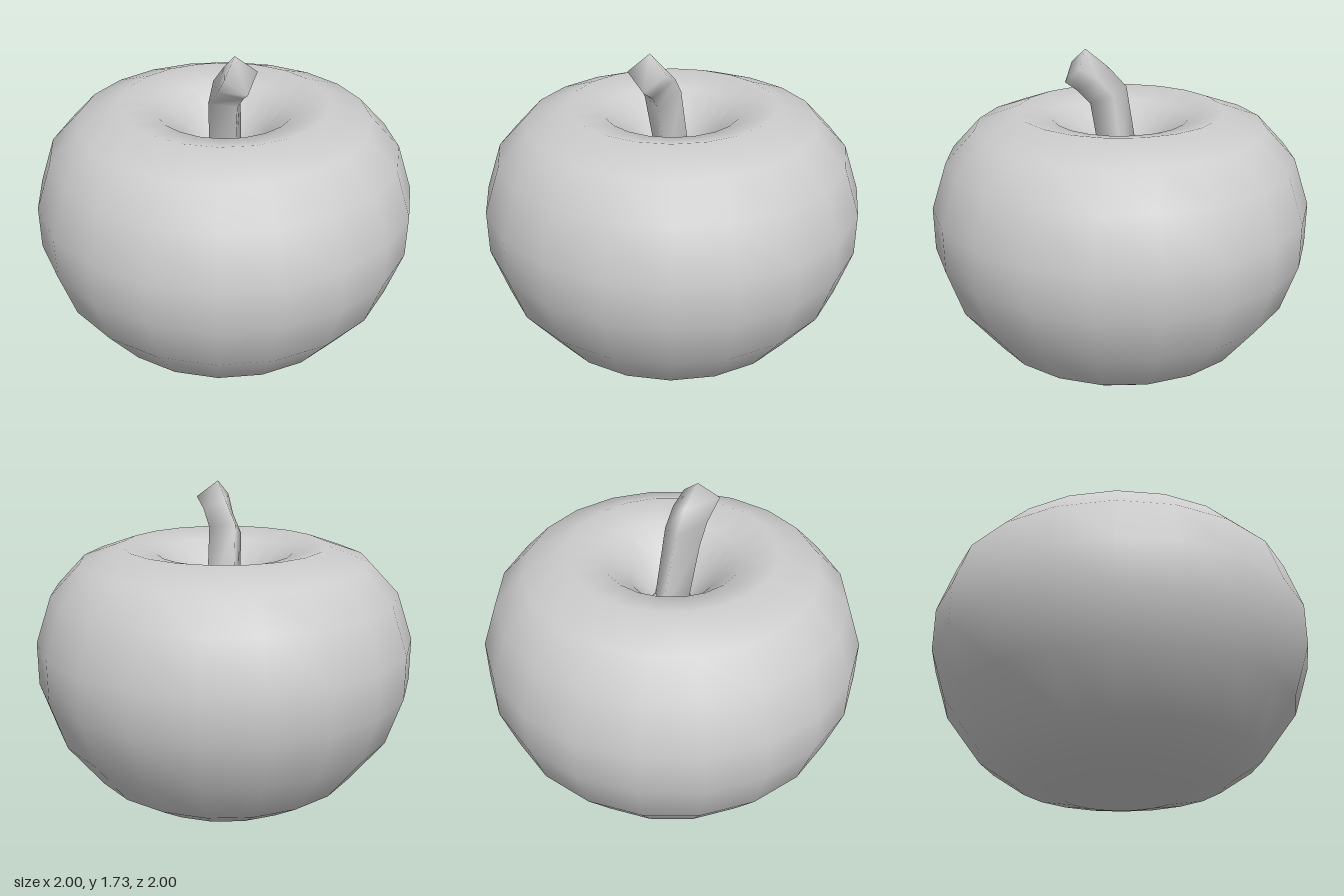
import * as THREE from 'three';

// Square stem cross-sections from foot to tip: back-left, back-right, front-right, front-left
const STEM_RINGS = [
  [[-0.07, 1.08, -0.08], [0.08, 1.08, -0.07], [0.07, 1.08, 0.07], [-0.07, 1.08, 0.06]],
  [[-0.06, 1.52, 0.0], [0.08, 1.5, -0.01], [0.09, 1.44, 0.13], [-0.06, 1.45, 0.13]],
  [[0.01, 1.63, 0.07], [0.13, 1.59, 0.05], [0.13, 1.51, 0.18], [0.0, 1.54, 0.19]],
  [[0.08, 1.725, 0.165], [0.19, 1.64, 0.13], [0.16, 1.555, 0.24], [0.05, 1.64, 0.275]],
];

// Joins the cross-sections into a smooth-shaded tube with a closed tip
function loft(rings) {
  const n = rings[0].length;
  const index = [];
  for (let r = 0; r < rings.length - 1; r++) {
    for (let i = 0; i < n; i++) {
      const a = r * n + i, b = r * n + (i + 1) % n;
      index.push(a, a + n, b, b, a + n, b + n);
    }
  }
  const t = (rings.length - 1) * n;
  index.push(t, t + 2, t + 1, t, t + 3, t + 2);
  const g = new THREE.BufferGeometry();
  g.setAttribute('position', new THREE.Float32BufferAttribute(rings.flat(2), 3));
  g.setIndex(index);
  g.computeVertexNormals();
  return g;
}

export function createModel() {
  const group = new THREE.Group();
  const grey = new THREE.MeshStandardMaterial({ color: 0xcccccc });
  grey.name = 'plain grey';
  const add = (name, geometry) => {
    const mesh = new THREE.Mesh(geometry, grey);
    mesh.name = name;
    group.add(mesh);
    return mesh;
  };

  // Round squat body with a hollow at the top
  const profile = [
    [0, 0.01], [0.305, 0], [0.545, 0.055], [0.735, 0.18], [0.925, 0.43],
    [1.01, 0.69], [1.01, 0.92], [0.925, 1.17], [0.768, 1.335], [0.545, 1.415],
    [0.36, 1.37], [0.22, 1.25], [0.11, 1.1],
  ].map(([r, y]) => new THREE.Vector2(r, y));
  const turn = THREE.MathUtils.degToRad(8.1);
  add('body', new THREE.LatheGeometry(profile, 20, turn));

  // Flat floor of the hollow
  const floor = add('hollowFloor', new THREE.CircleGeometry(0.11, 20));
  floor.rotation.x = -Math.PI / 2;
  floor.position.y = 1.1;

  // Bent stem leaning to the front left
  add('stem', loft(STEM_RINGS));
  return group;
}
